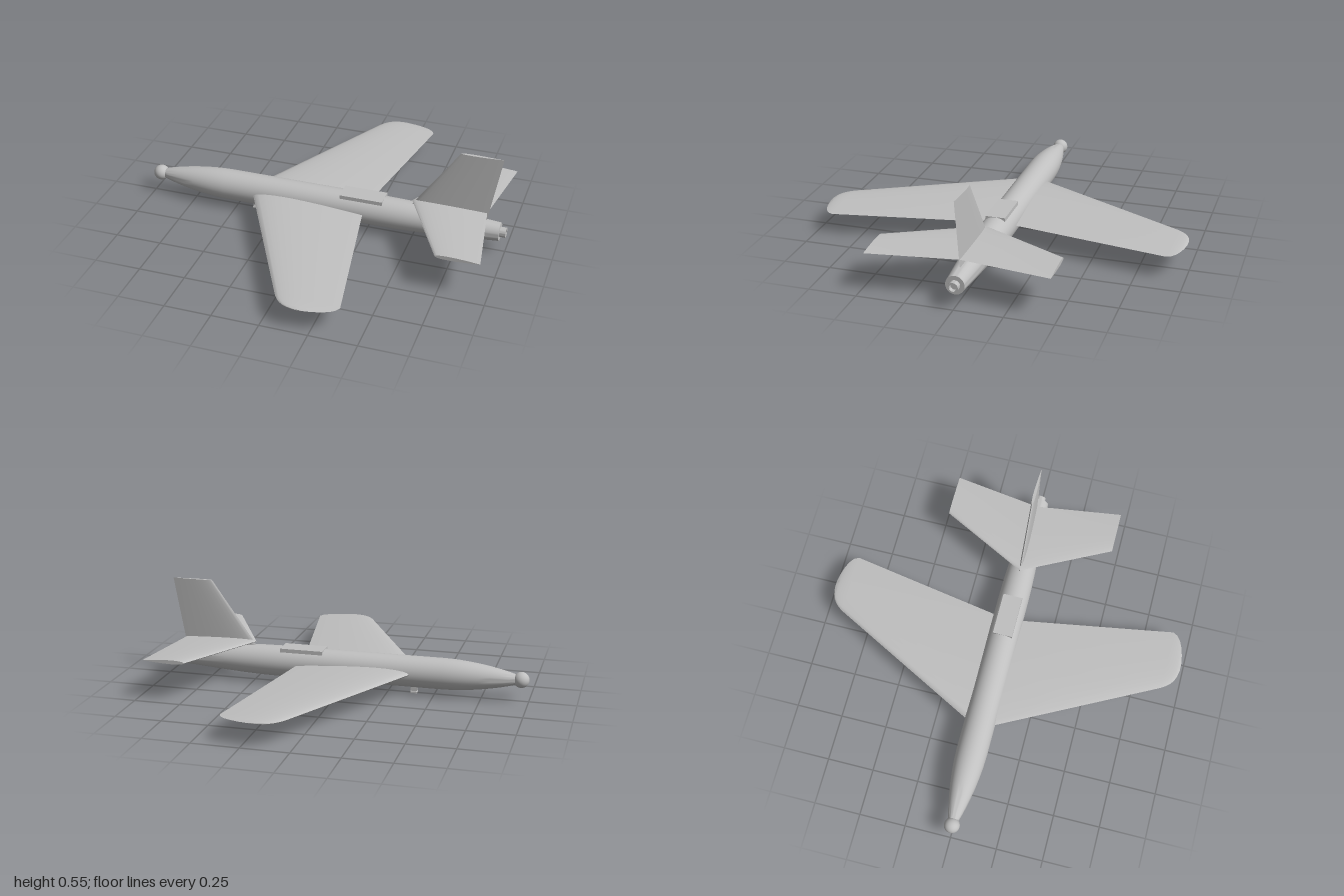
import * as THREE from 'three';
import { mergeVertices, toCreasedNormals } from 'three/addons/utils/BufferGeometryUtils.js';

const AXIS = 0.117; // height of the fuselage centre line

// Lofts an airfoil through stations [span z, leading x, trailing x, thickness], ascending in z.
function loftAirfoil(stations, steps = 14) {
  const half = (t) => 1.4845 * Math.sqrt(t) - 0.63 * t - 1.758 * t * t + 1.4215 * t ** 3 - 0.518 * t ** 4;
  const n = steps * 2;
  const pos = [], index = [];
  for (const [z, le, te, thick] of stations) {
    for (let i = 0; i < n; i++) {
      const u = i <= steps ? i / steps : (n - i) / steps;
      const t = (1 - Math.cos(Math.PI * u)) / 2;
      const y = half(t) * thick * (i <= steps ? 1 : -1);
      pos.push(le + (te - le) * t, i === steps ? 0 : y, z);
    }
  }
  for (let s = 0; s < stations.length - 1; s++) {
    for (let i = 0; i < n; i++) {
      const j = (i + 1) % n;
      const a = s * n + i, b = s * n + j, c = b + n, d = a + n;
      index.push(a, d, b, b, d, c);
    }
  }
  // End caps
  const last = (stations.length - 1) * n;
  for (let i = 1; i < n - 1; i++) {
    index.push(0, i, i + 1, last, last + i + 1, last + i);
  }
  const geo = new THREE.BufferGeometry();
  geo.setAttribute('position', new THREE.Float32BufferAttribute(pos, 3));
  geo.setIndex(index);
  return toCreasedNormals(mergeVertices(geo), 0.6);
}

// Full span from one half: stations listed from the root (z = 0) outwards.
const bothSides = (half) => [...half.slice(1).reverse().map(([z, ...r]) => [-z, ...r]), ...half];

// Body of revolution along x from [x, radius] pairs.
function latheX(profile, segments = 40) {
  const geo = new THREE.LatheGeometry(profile.map(([x, r]) => new THREE.Vector2(r, x)), segments);
  geo.rotateZ(-Math.PI / 2);
  return toCreasedNormals(geo, 0.6);
}

export function createModel() {
  const model = new THREE.Group();
  const grey = new THREE.MeshStandardMaterial({ color: 0xc0c0c0 });
  grey.name = 'grey';
  const add = (name, geo, x = 0, y = 0, z = 0) => {
    const mesh = new THREE.Mesh(geo, grey);
    mesh.name = name;
    mesh.position.set(x, y, z);
    model.add(mesh);
    return mesh;
  };

  // Fuselage with a tapered nose and a blunt tail
  add('fuselage', latheX([
    [-0.95, 0], [-0.93, 0.027], [-0.9, 0.036], [-0.85, 0.048], [-0.8, 0.058], [-0.74, 0.068],
    [-0.68, 0.0755], [-0.62, 0.081], [-0.55, 0.0835], [0, 0.0835], [0.35, 0.0835], [0.45, 0.082],
    [0.55, 0.078], [0.65, 0.072], [0.8, 0.0615], [0.968, 0.049], [0.968, 0],
  ]), 0, AXIS);
  add('noseBall', new THREE.SphereGeometry(0.042, 32, 20), -0.958, AXIS);

  // Hollow exhaust pipe
  add('exhaust', latheX([
    [0.95, 0.027], [1, 0.027], [1, 0.019], [0.975, 0.019], [0.975, 0],
  ], 32), 0, AXIS);

  // Main wing with rounded tips
  add('wing', loftAirfoil(bothSides([
    [0, -0.42, 0.227, 0.05],
    [0.9, 0.05, 0.381, 0.025],
    [0.925, 0.067, 0.368, 0.022],
    [0.945, 0.086, 0.342, 0.019],
    [0.96, 0.106, 0.306, 0.015],
    [0.972, 0.135, 0.262, 0.01],
    [0.979, 0.17, 0.215, 0.004],
  ])), 0, 0.122);

  // Tailplane and upright fin
  add('tailplane', loftAirfoil(bothSides([
    [0, 0.49, 0.893, 0.025],
    [0.468, 0.73, 0.96, 0.021],
  ])), 0, 0.216);
  add('fin', loftAirfoil([
    [0.16, 0.49, 0.89, 0.024],
    [0.195, 0.49, 0.897, 0.024],
    [0.545, 0.737, 0.96, 0.016],
  ])).rotation.x = -Math.PI / 2;

  // Flat hatch on the back
  add('hatch', new THREE.BoxGeometry(0.235, 0.028, 0.106), 0.222, 0.188);

  // Launch lugs under the belly: a stem on a wider foot
  for (const x of [-0.39, 0.152]) {
    add('lugStem', new THREE.BoxGeometry(0.035, 0.042, 0.014), x, 0.027);
    add('lugFoot', new THREE.BoxGeometry(0.035, 0.009, 0.034), x, 0.0045);
  }

  return model;
}
